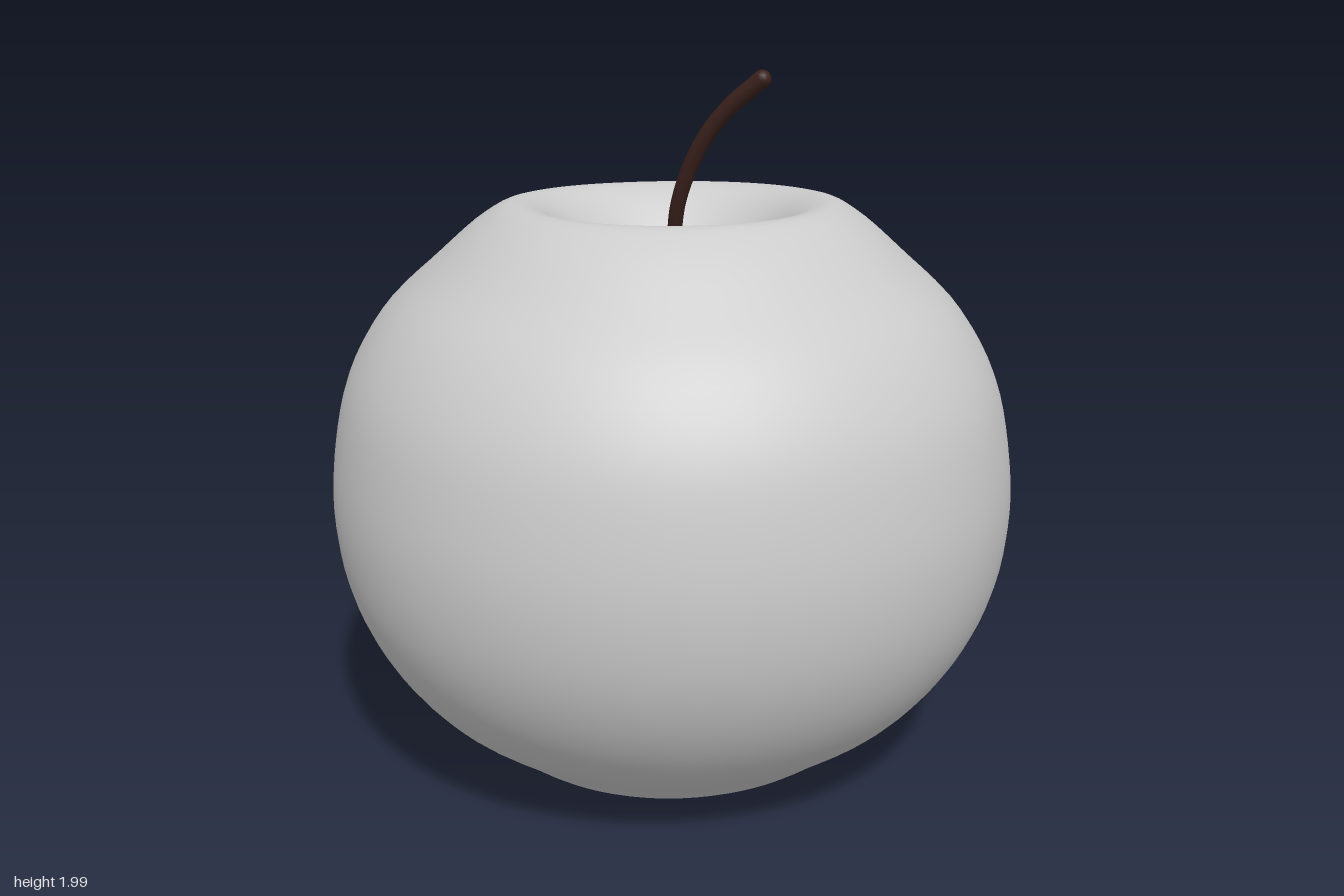
import * as THREE from 'three';
import { mergeVertices } from 'three/addons/utils/BufferGeometryUtils.js';

const v3 = (x, y, z) => new THREE.Vector3(x, y, z);

// Lathed body with a calyx dimple below and a stem pit above
function makeBody() {
  const profile = [
    [0, 0.17], [0.1, 0.16], [0.2, 0.11], [0.3, 0.045], [0.39, 0.012], [0.47, 0.038],
    [0.6, 0.135], [0.74, 0.25], [0.86, 0.41], [0.935, 0.59], [0.963, 0.79], [0.948, 0.98],
    [0.9, 1.17], [0.8, 1.34], [0.66, 1.475], [0.52, 1.595], [0.44, 1.633], [0.36, 1.61],
    [0.27, 1.53], [0.17, 1.41], [0.08, 1.3], [0, 1.24],
  ].map(([r, y]) => v3(r, y, 0));
  const points = new THREE.CatmullRomCurve3(profile, false, 'centripetal').getPoints(88)
    .map(p => new THREE.Vector2(Math.max(p.x, 0), p.y));
  points[0].x = points[points.length - 1].x = 0;

  let geometry = new THREE.LatheGeometry(points, 80);
  geometry.deleteAttribute('uv');
  geometry.deleteAttribute('normal');
  geometry = mergeVertices(geometry, 1e-5);

  // Gentle unevenness: faint lobes around the sides and a slightly lower back rim
  const pos = geometry.attributes.position;
  for (let i = 0; i < pos.count; i++) {
    const x = pos.getX(i), y = pos.getY(i), z = pos.getZ(i);
    const angle = Math.atan2(x, z);
    const s = 1 + 0.006 * (1 - Math.cos(4 * angle));
    const drop = z < 0 ? 0.045 * -z * THREE.MathUtils.smoothstep(y, 1.2, 1.64) : 0;
    pos.setXYZ(i, x * s, y - drop, z * s);
  }
  geometry.computeVertexNormals();
  return new THREE.Mesh(geometry, new THREE.MeshStandardMaterial({ color: 0xcccccc }));
}

// Curved stem that thickens toward its rounded tip
function makeStem() {
  const group = new THREE.Group();
  const material = new THREE.MeshStandardMaterial({ color: 0x3a211c });
  const path = new THREE.CatmullRomCurve3([
    v3(0, 1.22, 0), v3(0, 1.45, 0.045), v3(0.004, 1.64, 0.105),
    v3(0.055, 1.8, 0.16), v3(0.12, 1.9, 0.207), v3(0.197, 1.977, 0.258),
  ]);
  const rings = 40, sides = 12;
  const geometry = new THREE.TubeGeometry(path, rings, 1, sides, false);
  const pos = geometry.attributes.position;
  for (let i = 0; i <= rings; i++) {
    const centre = path.getPointAt(i / rings);
    const radius = 0.018 + 0.006 * (i / rings);
    for (let j = 0; j <= sides; j++) {
      const k = i * (sides + 1) + j;
      const p = v3().fromBufferAttribute(pos, k).sub(centre).multiplyScalar(radius).add(centre);
      pos.setXYZ(k, p.x, p.y, p.z);
    }
  }
  const shaft = new THREE.Mesh(geometry, material);
  shaft.name = 'stemShaft';
  const tip = new THREE.Mesh(new THREE.SphereGeometry(0.024, 16, 12), material);
  tip.name = 'stemTip';
  tip.position.copy(path.getPointAt(1));
  group.add(shaft, tip);
  return group;
}

export function createModel() {
  const model = new THREE.Group();
  model.name = 'apple';
  const body = makeBody();
  body.name = 'body';
  const stem = makeStem();
  stem.name = 'stem';
  model.add(body, stem);
  return model;
}
